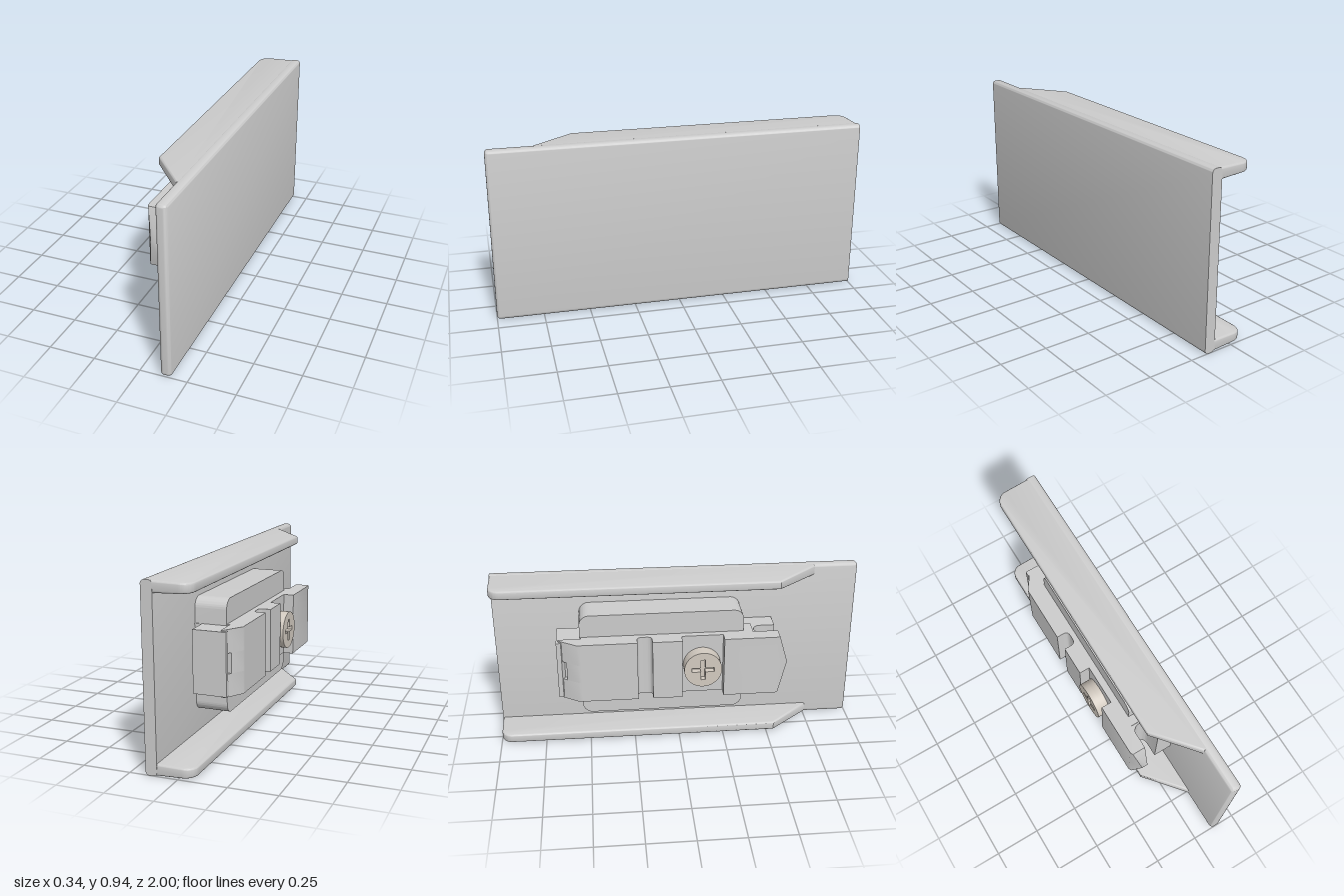
import * as THREE from 'three';
import { toCreasedNormals } from 'three/addons/utils/BufferGeometryUtils.js';
import { RoundedBoxGeometry } from 'three/addons/geometries/RoundedBoxGeometry.js';

const grey = new THREE.MeshStandardMaterial({ color: 0xcccccc });
const steel = new THREE.MeshStandardMaterial({ color: 0xd2cac0 });
const MID = 0.472;

// Moves every vertex by a rule, then rebuilds normals with sharp creases.
function reshape(geometry, rule) {
  const pos = geometry.attributes.position;
  const v = new THREE.Vector3();
  for (let i = 0; i < pos.count; i++) {
    v.fromBufferAttribute(pos, i);
    rule(v);
    pos.setXYZ(i, v.x, v.y, v.z);
  }
  return toCreasedNormals(geometry, 0.6);
}

// Extrudes an outline drawn in (x, z) upward from y0 to y1.
function slab(shape, y0, y1, bevel = 0, steps = 1, rule = () => {}) {
  const g = new THREE.ExtrudeGeometry(shape, {
    depth: y1 - y0 - 2 * bevel, steps, curveSegments: 12,
    bevelEnabled: bevel > 0, bevelSize: bevel, bevelThickness: bevel,
    bevelOffset: -bevel, bevelSegments: 4,
  });
  g.rotateX(Math.PI / 2).translate(0, y1 - bevel, 0);
  return reshape(g, rule);
}

// Extrudes an outline drawn in (z, y) from x0 toward -x.
function sideways(shape, x0, depth) {
  const g = new THREE.ExtrudeGeometry(shape, { depth, bevelEnabled: false, curveSegments: 24 });
  g.rotateY(-Math.PI / 2).translate(x0, 0, 0);
  return toCreasedNormals(g, 0.6);
}

function outline(points) {
  return new THREE.Shape(points.map(([a, b]) => new THREE.Vector2(a, b)));
}

function roundedRect(a0, b0, a1, b1, r) {
  const s = new THREE.Shape();
  s.absarc(a1 - r, b1 - r, r, 0, Math.PI / 2);
  s.absarc(a0 + r, b1 - r, r, Math.PI / 2, Math.PI);
  s.absarc(a0 + r, b0 + r, r, Math.PI, Math.PI * 1.5);
  s.absarc(a1 - r, b0 + r, r, Math.PI * 1.5, Math.PI * 2);
  return s;
}

export function createModel() {
  const model = new THREE.Group();
  const add = (name, geometry, material = grey) => {
    const mesh = new THREE.Mesh(geometry, material);
    mesh.name = name;
    model.add(mesh);
  };

  // Cover plate: rounded edges, cut flat at the rear end
  const plate = new RoundedBoxGeometry(0.059, 0.943, 2.02, 5, 0.02);
  plate.translate(0.1365, 0.4715, -0.01);
  add('coverPlate', reshape(plate, (v) => { v.z = Math.max(v.z, -1); }));

  // Upper and lower flanges, thinning toward the free edge
  const flange = new THREE.Shape();
  flange.moveTo(0.145, -1);
  flange.lineTo(0.145, 0.76);
  flange.lineTo(0.107, 0.76);
  flange.lineTo(-0.08, 0.54);
  flange.lineTo(-0.08, -0.935);
  flange.absarc(-0.02, -0.937, 0.06, Math.PI, Math.PI * 1.5);
  for (const [name, mid] of [['upperFlange', 0.911], ['lowerFlange', 0.032]]) {
    add(name, slab(flange, mid - 0.031, mid + 0.031, 0.012, 1, (v) => {
      const t = (0.14 - v.x) / 0.22;
      v.y = mid + (v.y - mid) * (1 - 0.22 * t);
    }));
  }

  // Mounting block with rounded corners
  add('mountingBlock', sideways(roundedRect(-0.535, 0.177, 0.35, 0.77, 0.055), 0.115, 0.178));

  // Latch core with a round groove behind the front tongue
  const core = new THREE.Shape();
  core.moveTo(0.11, -0.54);
  core.lineTo(0.11, 0.53);
  core.lineTo(0.005, 0.53);
  core.lineTo(0.005, 0.45);
  core.absarc(-0.036, 0.45, 0.041, 0, Math.PI, true);
  core.lineTo(-0.077, 0.52);
  core.lineTo(-0.085, 0.52);
  core.lineTo(-0.085, -0.62);
  core.lineTo(-0.11, -0.635);
  core.lineTo(-0.11, -0.66);
  core.lineTo(0.068, -0.66);
  core.lineTo(0.068, -0.54);
  add('latchCore', slab(core, 0.31, 0.638));

  // Latch body with cross slot, screw recess and a front tongue pointed at mid height
  const body = new THREE.Shape();
  body.moveTo(0.02, -0.53);
  body.lineTo(0.02, 0.4);
  body.lineTo(-0.077, 0.4);
  for (const [x, z] of [[-0.077, 0.535], [-0.15, 0.535], [-0.157, 0.52], [-0.157, 0.235],
    [-0.1, 0.235], [-0.1, 0.01], [-0.157, 0.01], [-0.157, -0.15]]) body.lineTo(x, z);
  body.lineTo(-0.12, -0.15);
  body.quadraticCurveTo(-0.092, -0.15, -0.092, -0.178);
  body.lineTo(-0.092, -0.202);
  body.quadraticCurveTo(-0.092, -0.23, -0.12, -0.23);
  body.lineTo(-0.157, -0.23);
  body.lineTo(-0.157, -0.53);
  add('latchBody', slab(body, 0.302, 0.645, 0, 2, (v) => {
    if (v.z > 0.53 && Math.abs(v.y - 0.4735) < 0.01) {
      v.x = v.x < -0.1 ? -0.118 : -0.085;
      v.z = 0.587;
    }
  }));

  // Sloped rear tab with a small notch in its middle
  const tab = outline([[-0.157, -0.53], [-0.157, -0.55], [-0.092, -0.65], [-0.08, -0.65], [-0.08, -0.53]]);
  const tabShort = outline([[-0.157, -0.53], [-0.157, -0.55], [-0.118, -0.61], [-0.08, -0.61], [-0.08, -0.53]]);
  add('rearTabLower', slab(tab, 0.302, 0.42));
  add('rearTabMiddle', slab(tabShort, 0.42, 0.525));
  add('rearTabUpper', slab(tab, 0.525, 0.645));

  // Screw head with a cross recess
  const head = new THREE.Shape().absarc(0.12, MID, 0.102, 0, Math.PI * 2);
  const l = 0.06, w = 0.012;
  const cross = [[l, -w], [l, w], [w, w], [w, l], [-w, l], [-w, w],
    [-l, w], [-l, -w], [-w, -w], [-w, -l], [w, -l], [w, -w]];
  const disc = head.clone();
  head.holes.push(outline(cross.map(([a, b]) => [a + 0.12, b + MID])));
  add('screwHead', sideways(head, -0.135, 0.035), steel);
  add('screwBase', sideways(disc, -0.095, 0.04), steel);

  return model;
}
